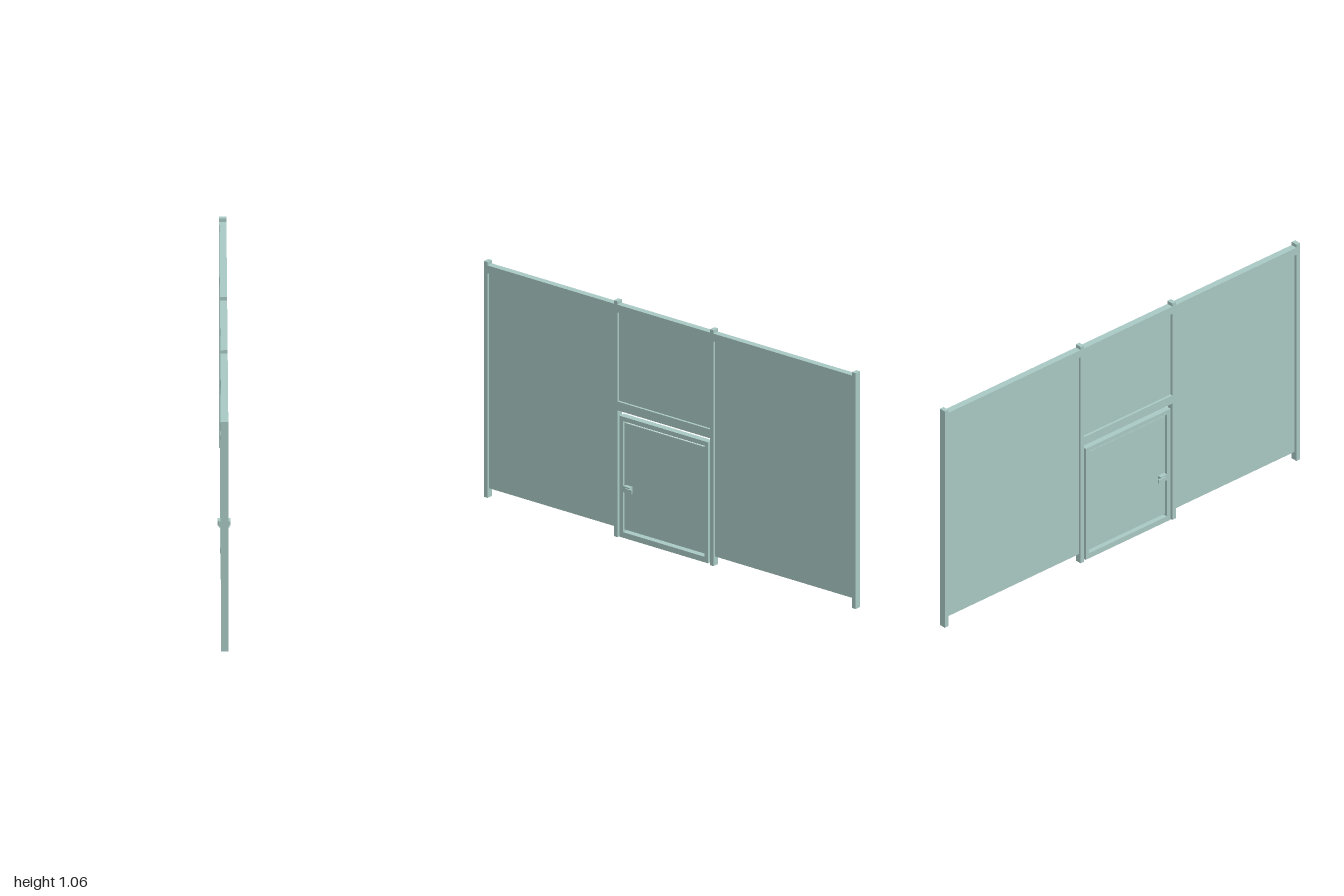
import * as THREE from 'three';

export function createModel() {
  const model = new THREE.Group();
  model.name = 'partitionWallWithDoor';
  const paint = new THREE.MeshStandardMaterial({ color: 0xa9c9c3 });
  paint.name = 'paleGreen';

  // Box spanning y0..y1 and z0..z1, centred on x with the given depth
  function slab(parent, name, y0, y1, z0, z1, depth, x = 0) {
    const mesh = new THREE.Mesh(new THREE.BoxGeometry(depth, y1 - y0, z1 - z0), paint);
    mesh.position.set(x, (y0 + y1) / 2, (z0 + z1) / 2);
    mesh.name = name;
    parent.add(mesh);
  }

  const DEPTH = 0.03, SHEET = 0.008;

  // Posts, and the top beams between them
  const posts = [[-1, -0.98], [-0.235, -0.216], [0.281, 0.301], [0.98, 1]];
  posts.forEach(([z0, z1]) => slab(model, 'post', 0, 1.06, z0, z1, DEPTH));
  for (let i = 0; i < 3; i++) {
    slab(model, 'topBeam', 1.01, 1.045, posts[i][1], posts[i + 1][0], DEPTH);
  }

  // Infill sheets and the lintel over the doorway
  slab(model, 'sidePanel', 0.04, 1.01, -0.98, -0.235, SHEET);
  slab(model, 'sidePanel', 0.04, 1.01, 0.301, 0.98, SHEET);
  slab(model, 'upperPanel', 0.61, 1.01, -0.216, 0.281, SHEET);
  slab(model, 'lintel', 0.57, 0.61, -0.216, 0.281, DEPTH);

  // Door: frame with a sheet that leaves slits at the top and bottom
  const door = new THREE.Group();
  door.name = 'door';
  model.add(door);
  slab(door, 'doorStile', 0.005, 0.549, -0.206, -0.188, DEPTH);
  slab(door, 'doorStile', 0.005, 0.549, 0.251, 0.271, DEPTH);
  slab(door, 'doorTopRail', 0.529, 0.549, -0.188, 0.251, DEPTH);
  slab(door, 'doorBottomRail', 0.005, 0.03, -0.188, 0.251, DEPTH);
  slab(door, 'doorPanel', 0.039, 0.518, -0.188, 0.251, SHEET);

  // Handle on both sides: a block at the door and a lever pointing to -z
  for (const side of [1, -1]) {
    slab(door, 'handleBlock', 0.214, 0.241, 0.21, 0.245, 0.018, side * 0.013);
    slab(door, 'handleLever', 0.218, 0.235, 0.195, 0.232, 0.008, side * 0.024);
  }
  return model;
}
